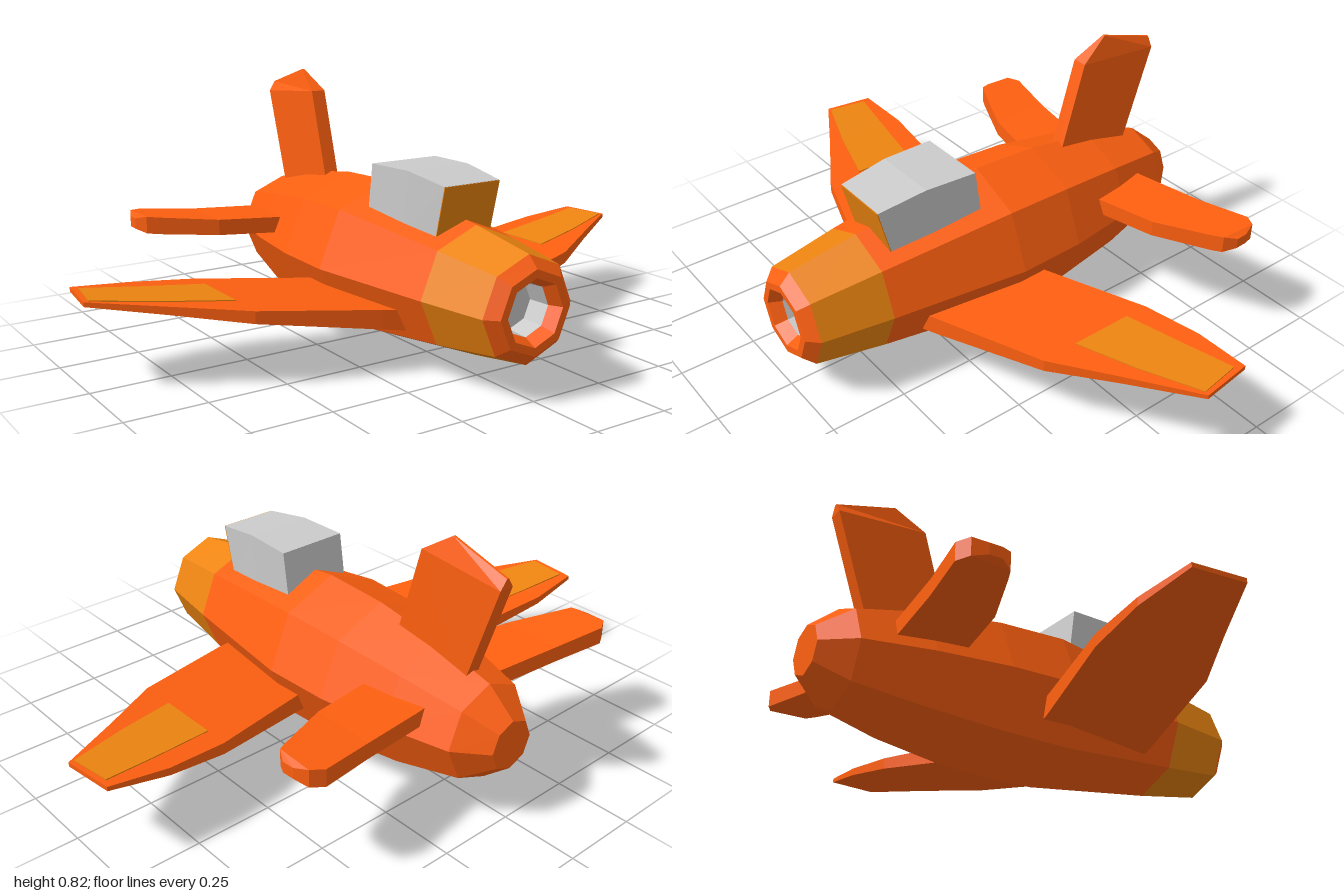
import * as THREE from 'three';

const paint = (color) => new THREE.MeshStandardMaterial({ color, flatShading: true });
const orange = paint(0xff6010);
const amber = paint(0xee8510);
const grey = paint(0xcccccc);

function addMesh(group, name, geometry, material) {
  const flat = geometry.index ? geometry.toNonIndexed() : geometry;
  flat.computeVertexNormals();
  const mesh = new THREE.Mesh(flat, material);
  mesh.name = name;
  group.add(mesh);
}

// Solid through cross-sections; each ring runs counter-clockwise about the direction of travel
function loft(rings) {
  const pos = [];
  const tri = (...pts) => pts.forEach((p) => pos.push(...p));
  const n = rings[0].length;
  for (let i = 0; i < rings.length - 1; i++) {
    const a = rings[i], b = rings[i + 1];
    for (let j = 0; j < n; j++) {
      const k = (j + 1) % n;
      tri(a[j], a[k], b[j]);
      tri(a[k], b[k], b[j]);
    }
  }
  const first = rings[0], last = rings[rings.length - 1];
  for (let j = 1; j < n - 1; j++) {
    tri(first[0], first[j + 1], first[j]);
    tri(last[0], last[j], last[j + 1]);
  }
  const g = new THREE.BufferGeometry();
  g.setAttribute('position', new THREE.Float32BufferAttribute(pos, 3));
  return g;
}

// Mirroring flips the winding, so the section order is reversed to restore it
const mirrorX = (rings) => rings.map((r) => r.map(([x, y, z]) => [-x, y, z])).reverse();

// Spanwise section: x at front and back, z at front and back, y at top and bottom
const airfoil = ([xF, xB, zF, zB, yT, yB]) =>
  [[xB, yT, zB], [xF, yT, zF], [xF, yB, zF], [xB, yB, zB]];

function addPair(group, name, sections, material) {
  const rings = sections.map(airfoil);
  addMesh(group, 'left' + name, loft(rings), material);
  addMesh(group, 'right' + name, loft(mirrorX(rings)), material);
}

// Eight-sided body section along z, from [radius, z] points
function hull(points) {
  const g = new THREE.LatheGeometry(points.map(([r, z]) => new THREE.Vector2(r, z)), 8);
  return g.rotateX(Math.PI / 2).translate(0, 0.26, 0);
}

export function createModel() {
  const model = new THREE.Group();
  model.name = 'airplane';

  // Fuselage: tail and body, coloured band, rolled nose lip, intake cup
  addMesh(model, 'fuselage', hull([
    [0, -0.75], [0.08, -0.75], [0.16, -0.655], [0.212, -0.44],
    [0.247, -0.2], [0.256, 0.03], [0.197, 0.485]]), orange);
  addMesh(model, 'noseBand', hull([[0.197, 0.485], [0.16, 0.715]]), amber);
  addMesh(model, 'noseLip', hull([
    [0.16, 0.715], [0.125, 0.75], [0.1, 0.75], [0.08, 0.71]]), orange);
  addMesh(model, 'intake', hull([[0.08, 0.71], [0.075, 0.64], [0, 0.64]]), grey);

  // Main wings with slight dihedral
  addPair(model, 'Wing', [
    [0.1, 0.1, 0.38, -0.045, 0.19, 0.125],
    [0.23, 0.23, 0.345, -0.07, 0.205, 0.145],
    [0.59, 0.59, 0.235, -0.17, 0.236, 0.198],
    [0.79, 0.79, 0.115, -0.19, 0.253, 0.228],
    [1.0, 0.98, -0.005, -0.175, 0.272, 0.258]], orange);

  // Coloured panels lying on the wing tops
  addPair(model, 'WingPanel', [
    [0.59, 0.59, 0.115, -0.09, 0.239, 0.225],
    [0.79, 0.79, 0.06, -0.12, 0.256, 0.24],
    [0.985, 0.965, -0.008, -0.145, 0.274, 0.262]], amber);

  // Tailplanes with rounded tips
  addPair(model, 'Tailplane', [
    [0.08, 0.08, -0.315, -0.535, 0.35, 0.292],
    [0.18, 0.18, -0.33, -0.55, 0.35, 0.297],
    [0.4, 0.4, -0.37, -0.58, 0.36, 0.308],
    [0.58, 0.58, -0.448, -0.613, 0.376, 0.32],
    [0.615, 0.62, -0.465, -0.59, 0.38, 0.324],
    [0.638, 0.636, -0.505, -0.545, 0.37, 0.335]], orange);

  // Swept fin narrowing to a ridge: half thickness, front z and y, back z and y
  addMesh(model, 'fin', loft([
    [0.025, -0.285, 0.4, -0.565, 0.36],
    [0.025, -0.39, 0.76, -0.69, 0.735],
    [0.004, -0.49, 0.827, -0.692, 0.767],
  ].map(([t, zF, yF, zB, yB]) =>
    [[-t, yF, zF], [t, yF, zF], [t, yB, zB], [-t, yB, zB]])), orange);

  // Canopy box: bottom half width, top half width, bottom z and y, top z and y
  const slice = ([wB, wT, zB, yB, zT, yT]) =>
    [[wB, yB, zB], [wT, yT, zT], [-wT, yT, zT], [-wB, yB, zB]];
  addMesh(model, 'canopy', loft([
    [0.12, 0.12, 0.1, 0.42, 0.125, 0.595],
    [0.112, 0.112, 0.28, 0.41, 0.3, 0.598],
    [0.1, 0.1, 0.418, 0.4, 0.463, 0.575]].map(slice)), grey);
  addMesh(model, 'windscreen', loft([
    [0.1, 0.1, 0.418, 0.4, 0.463, 0.574],
    [0.1, 0.1, 0.421, 0.4, 0.466, 0.574]].map(slice)), amber);

  return model;
}
